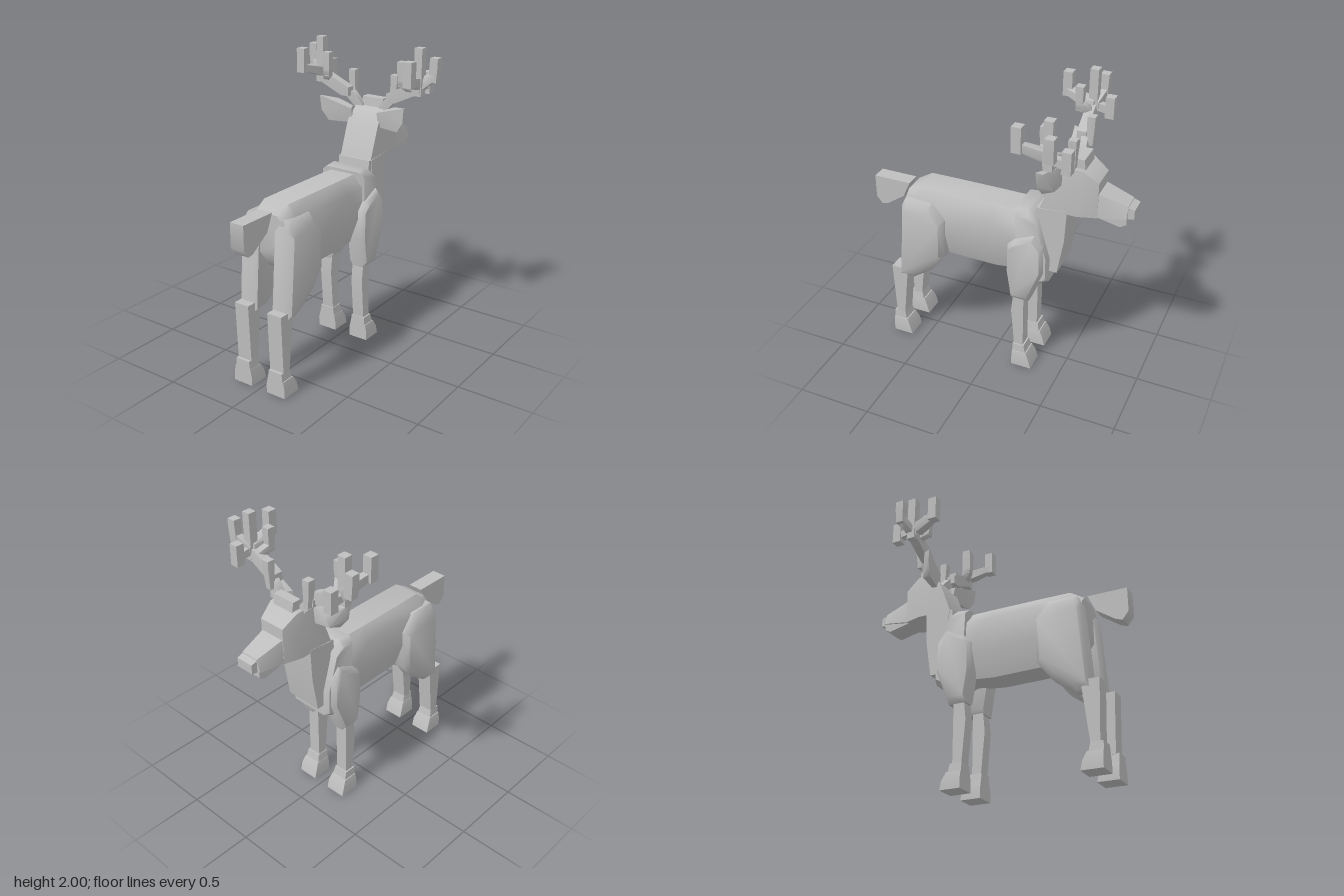
import * as THREE from 'three';
import { toCreasedNormals } from 'three/addons/utils/BufferGeometryUtils.js';
import { ConvexGeometry } from 'three/addons/geometries/ConvexGeometry.js';

const coat = new THREE.MeshStandardMaterial({ color: 0xbebebe });
coat.name = 'grey coat';

// Convex low-poly part around a few corner points, softly shaded
function hull(name, points) {
  const geo = new ConvexGeometry(points.map((p) => new THREE.Vector3(...p)));
  const mesh = new THREE.Mesh(toCreasedNormals(geo, 0.9), coat);
  mesh.name = name;
  return mesh;
}

// Side outline [x, y] spanning z0..z1; faces shrink by s0 / s1 with bevels of depth d0 / d1
function slab(name, outline, z0, z1, s0 = 1, s1 = 1, d0 = 0.03, d1 = 0.03) {
  const cx = outline.reduce((a, p) => a + p[0], 0) / outline.length;
  const cy = outline.reduce((a, p) => a + p[1], 0) / outline.length;
  const pts = [];
  const ring = (z, s) => outline.forEach(([x, y]) => pts.push([cx + (x - cx) * s, cy + (y - cy) * s, z]));
  ring(z0, s0);
  ring(z1, s1);
  if (s0 < 1) ring(z0 + d0, 1);
  if (s1 < 1) ring(z1 - d1, 1);
  return hull(name, pts);
}

// Upright piece from horizontal levels [y, x0, x1, z0, z1]
function levels(name, rows) {
  const pts = [];
  for (const [y, x0, x1, z0, z1] of rows)
    for (const x of [x0, x1]) for (const z of [z0, z1]) pts.push([x, y, z]);
  return hull(name, pts);
}

// Square bar joining two points, with a half width at each end
function bar(name, a, b, ra = 0.028, rb = ra) {
  const pts = [];
  for (const [p, r] of [[a, ra], [b, rb]])
    for (const i of [-r, r]) for (const j of [-r, r]) for (const k of [-r, r])
      pts.push([p[0] + i, p[1] + j, p[2] + k]);
  return hull(name, pts);
}

// Hoof and ankle with their back edge at x
function foot(x) {
  const g = new THREE.Group();
  g.name = 'foot';
  g.add(levels('hoof', [[0, x, x + 0.14, 0.06, 0.2], [0.06, x, x + 0.125, 0.06, 0.2], [0.11, x, x + 0.1, 0.07, 0.19]]));
  g.add(levels('ankle', [[0.1, x, x + 0.095, 0.07, 0.185], [0.165, x, x + 0.08, 0.08, 0.18]]));
  return g;
}

function frontLeg() {
  const g = new THREE.Group();
  g.name = 'frontLeg';
  g.add(slab('shoulder', [[0.12, 0.96], [0.17, 1.01], [0.3, 1.07], [0.36, 1.0], [0.365, 0.8], [0.27, 0.55],
    [0.145, 0.55], [0.115, 0.75]], 0.07, 0.2, 0.9, 0.86));
  g.add(levels('lowerLeg', [[0.6, 0.165, 0.235, 0.085, 0.17], [0.44, 0.148, 0.23, 0.085, 0.17],
    [0.16, 0.172, 0.235, 0.085, 0.17]]));
  g.add(foot(0.165));
  return g;
}

function hindLeg() {
  const g = new THREE.Group();
  g.name = 'hindLeg';
  g.add(slab('thigh', [[-0.64, 1.06], [-0.61, 1.12], [-0.42, 1.12], [-0.33, 1.01], [-0.34, 0.72],
    [-0.43, 0.6], [-0.58, 0.49], [-0.685, 0.48], [-0.66, 0.8]], 0.06, 0.2, 0.92, 0.84, 0.03, 0.04));
  g.add(slab('lowerLeg', [[-0.74, 0.55], [-0.62, 0.55], [-0.665, 0.16], [-0.725, 0.16]], 0.075, 0.18));
  g.add(foot(-0.745));
  return g;
}

function ear() {
  return hull('ear', [
    [0.42, 1.45, 0.1], [0.45, 1.45, 0.13], [0.45, 1.56, 0.12], [0.4, 1.55, 0.1],
    [0.38, 1.45, 0.27], [0.45, 1.47, 0.25], [0.46, 1.53, 0.22], [0.43, 1.6, 0.22],
    [0.365, 1.52, 0.32], [0.36, 1.62, 0.33], [0.4, 1.61, 0.32],
  ]);
}

// Joins and tines of one antler: [name, from, to, half width, end half width]
const ANTLER = [
  ['antlerBase', [0.5, 1.55, 0.085], [0.49, 1.63, 0.16], 0.02, 0.022],
  ['browTine', [0.525, 1.62, 0.155], [0.525, 1.765, 0.165], 0.018, 0.025],
  ['antlerBeam', [0.465, 1.65, 0.18], [0.455, 1.74, 0.37], 0.03, 0.03],
  ['mainTine', [0.46, 1.72, 0.382], [0.46, 1.972, 0.382], 0.028, 0.028],
  ['innerLink', [0.455, 1.73, 0.33], [0.4, 1.78, 0.29], 0.022, 0.022],
  ['innerTine', [0.4, 1.77, 0.29], [0.4, 1.885, 0.29], 0.02, 0.026],
  ['backLink', [0.44, 1.77, 0.37], [0.3, 1.81, 0.4], 0.03, 0.022],
  ['backTine', [0.282, 1.81, 0.41], [0.282, 1.912, 0.41], 0.03, 0.03],
  ['outerLink', [0.47, 1.76, 0.38], [0.5, 1.82, 0.46], 0.025, 0.022],
  ['outerTine', [0.5, 1.81, 0.465], [0.5, 1.912, 0.472], 0.026, 0.028],
  ['foreLink', [0.46, 1.76, 0.38], [0.56, 1.745, 0.38], 0.022, 0.022],
  ['foreTine', [0.57, 1.72, 0.382], [0.57, 1.803, 0.382], 0.029, 0.029],
];

function antler() {
  const g = new THREE.Group();
  g.name = 'antler';
  for (const part of ANTLER) g.add(bar(...part));
  return g;
}

// Adds a part and its mirror image across z = 0
function addPair(model, make) {
  const left = make();
  const right = make();
  // Mirror by flipping z and swapping two corners of each triangle
  right.traverse((m) => {
    if (!m.isMesh) return;
    for (const a of Object.values(m.geometry.attributes)) {
      for (let i = 0; i < a.count; i++) a.setZ(i, -a.getZ(i));
      for (let i = 0; i < a.count; i += 3) {
        const p = [a.getX(i), a.getY(i), a.getZ(i)];
        a.setXYZ(i, a.getX(i + 1), a.getY(i + 1), a.getZ(i + 1));
        a.setXYZ(i + 1, ...p);
      }
    }
  });
  model.add(left, right);
}

export function createModel() {
  const model = new THREE.Group();
  model.name = 'deer';

  // Barrel: eight-sided rings [x, bottom, top, half width]
  const barrel = [];
  for (const [x, y0, y1, w] of [[-0.63, 0.88, 1.14, 0.125], [-0.54, 0.76, 1.19, 0.15], [-0.33, 0.72, 1.19, 0.155],
    [0, 0.715, 1.19, 0.155], [0.2, 0.735, 1.19, 0.15]])
    for (const s of [-1, 1]) {
      const h = y1 - y0;
      barrel.push([x, y1, s * w * 0.6], [x, y1 - h * 0.18, s * w], [x, y0 + h * 0.38, s * w], [x, y0, s * w * 0.6]);
    }
  model.add(hull('body', barrel));

  // Chest, neck and tail
  model.add(slab('chest', [[0.15, 1.21], [0.24, 1.22], [0.31, 1.17], [0.39, 0.9], [0.39, 0.72], [0.32, 0.68],
    [0.17, 0.74]], -0.165, 0.165, 0.88, 0.88, 0.04, 0.04));
  model.add(slab('collar', [[0.28, 1.14], [0.29, 1.25], [0.42, 1.25], [0.42, 1.1]], -0.12, 0.12));
  model.add(slab('neck', [[0.31, 1.25], [0.49, 1.27], [0.48, 1.05], [0.44, 0.8], [0.36, 0.8]], -0.125, 0.125));
  model.add(slab('tail', [[-0.9, 1.16], [-0.64, 1.16], [-0.69, 1.05], [-0.82, 0.96], [-0.86, 0.95], [-0.9, 1.0]],
    -0.05, 0.05));

  // Head and face
  model.add(hull('head', [-1, 1].flatMap((s) => [
    [0.31, 1.25, s * 0.12], [0.39, 1.47, s * 0.12], [0.47, 1.56, s * 0.11], [0.57, 1.56, s * 0.11],
    [0.57, 1.45, s * 0.125], [0.67, 1.49, s * 0.09], [0.67, 1.25, s * 0.09], [0.55, 1.25, s * 0.125],
  ])));
  model.add(hull('muzzle', [-1, 1].flatMap((s) => [
    [0.65, 1.42, s * 0.085], [0.65, 1.25, s * 0.09], [0.85, 1.36, s * 0.06], [0.85, 1.28, s * 0.085],
  ])));
  model.add(slab('jaw', [[0.65, 1.28], [0.85, 1.285], [0.85, 1.24], [0.81, 1.215], [0.65, 1.25]], -0.075, 0.075));
  model.add(slab('nose', [[0.83, 1.36], [0.89, 1.34], [0.89, 1.28], [0.83, 1.27]], -0.06, 0.06));
  model.add(slab('brow', [[0.5, 1.54], [0.51, 1.62], [0.57, 1.62], [0.58, 1.54]], -0.08, 0.08));

  for (const make of [ear, antler, frontLeg, hindLeg]) addPair(model, make);
  return model;
}
